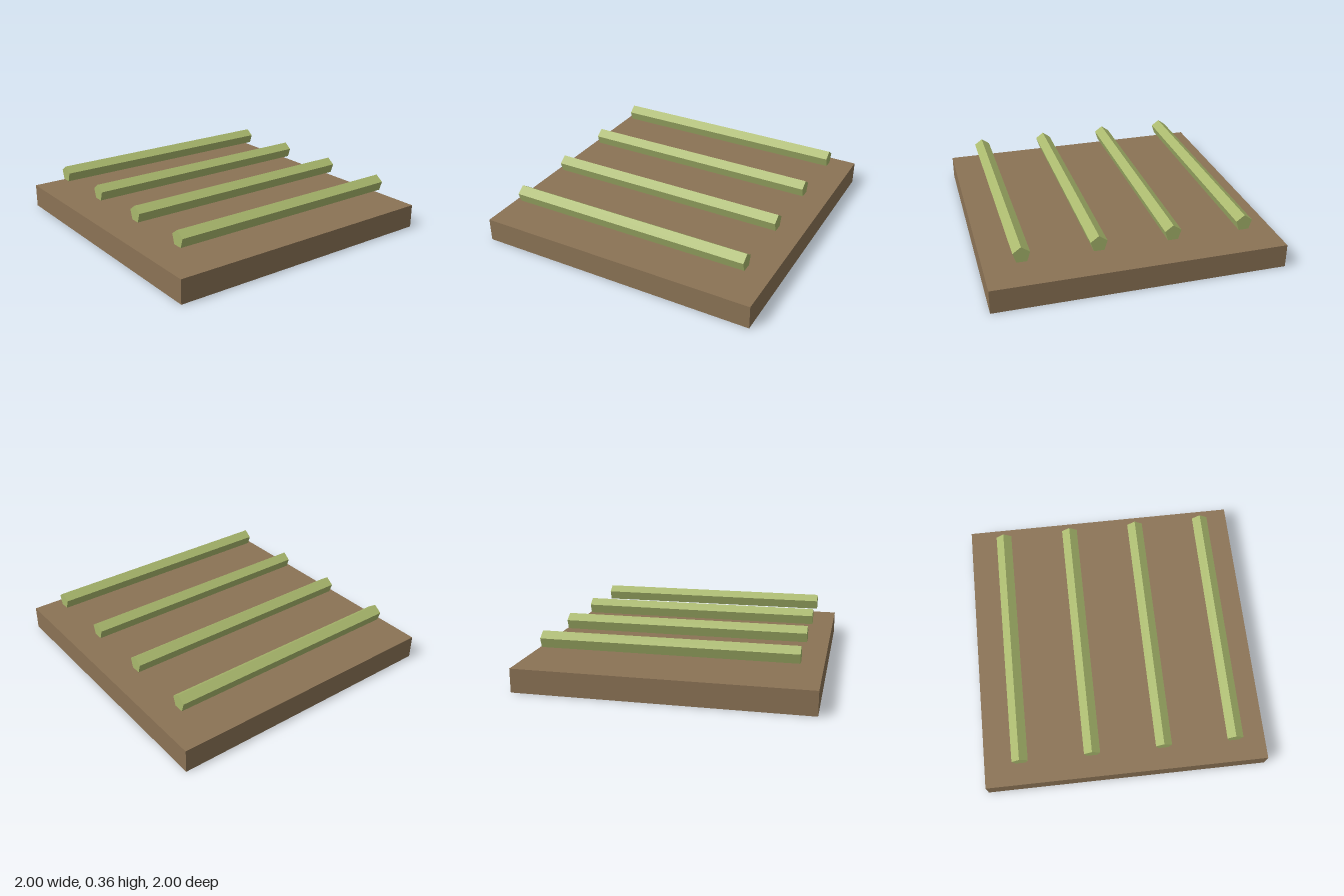
import * as THREE from 'three';

export function createModel() {
  const group = new THREE.Group();
  const soil = new THREE.MeshStandardMaterial({ color: 0x8b7355, flatShading: true });
  const green = new THREE.MeshStandardMaterial({ color: 0xa9b86d, flatShading: true });

  // Square slab
  const height = 0.165;
  const base = new THREE.Mesh(new THREE.BoxGeometry(2, height, 2), soil);
  base.name = 'base';
  base.position.y = height / 2;
  group.add(base);

  // Four floating five-sided bars running front to back, one edge up
  const barGeometry = new THREE.CylinderGeometry(0.059, 0.059, 1.73, 5).rotateX(-Math.PI / 2);
  for (let i = 0; i < 4; i++) {
    const bar = new THREE.Mesh(barGeometry, green);
    bar.name = `bar${i + 1}`;
    bar.position.set(-0.735 + i * 0.5, 0.302, 0);
    group.add(bar);
  }
  return group;
}
